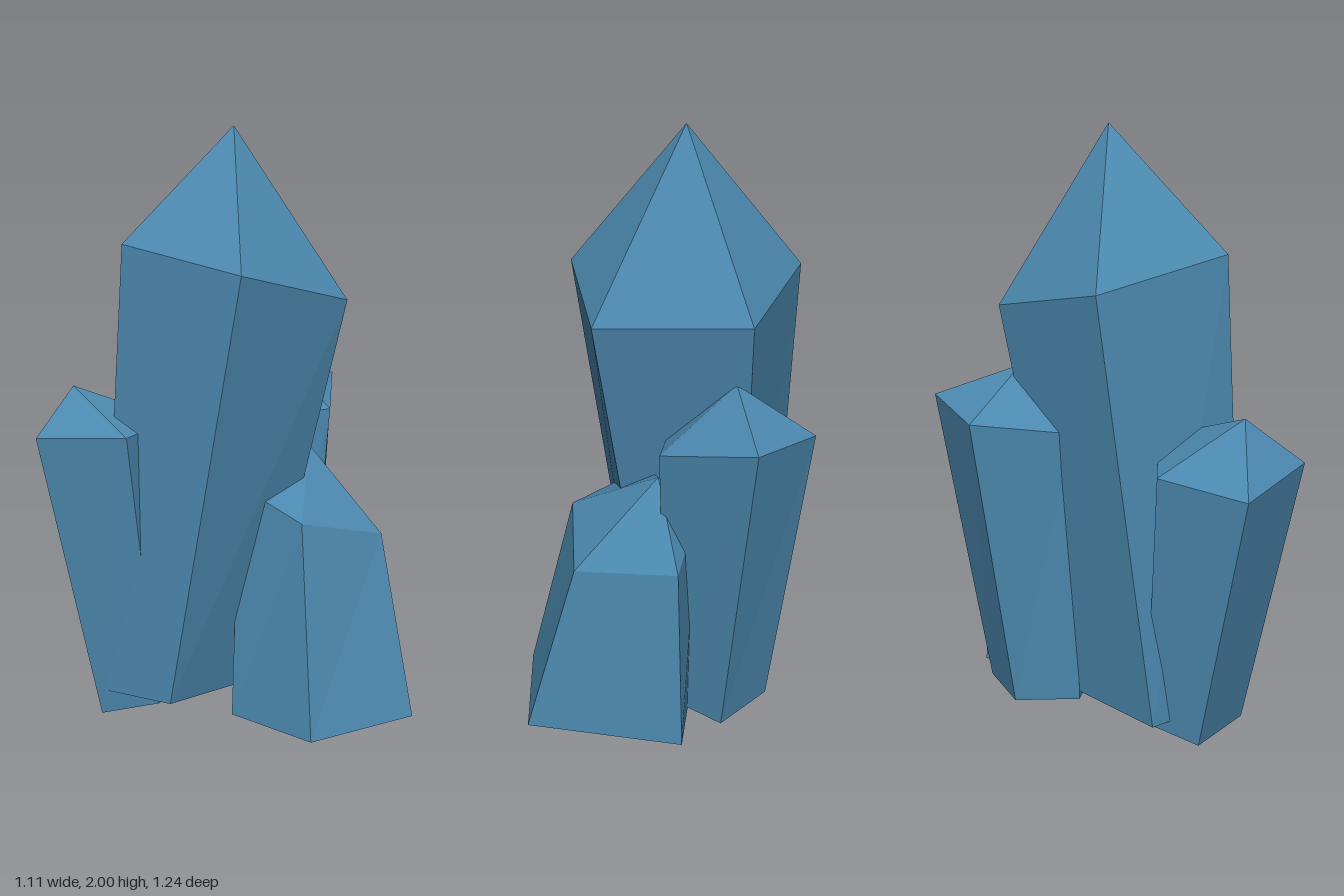
import * as THREE from 'three';

// One faceted crystal: base ring, shoulder ring (both running +z, +x, -z, -x) and a tip; open underneath
function crystal(name, material, base, shoulder, tip) {
  const p = [];
  const n = base.length;
  for (let i = 0; i < n; i++) {
    const j = (i + 1) % n;
    p.push(...base[i], ...base[j], ...shoulder[j]);
    p.push(...base[i], ...shoulder[j], ...shoulder[i]);
    p.push(...shoulder[i], ...shoulder[j], ...tip);
  }
  const geometry = new THREE.BufferGeometry();
  geometry.setAttribute('position', new THREE.Float32BufferAttribute(p, 3));
  geometry.computeVertexNormals();
  const mesh = new THREE.Mesh(geometry, material);
  mesh.name = name;
  return mesh;
}

export function createModel() {
  const group = new THREE.Group();
  group.name = 'crystalCluster';
  const blue = new THREE.MeshStandardMaterial({ color: 0x4b88ae, flatShading: true, side: THREE.DoubleSide });
  blue.name = 'crystalBlue';

  // Tall central crystal
  group.add(crystal('mainCrystal', blue,
    [[-0.2, 0.085, 0.44], [0.07, 0.09, 0.35], [0.065, 0.085, -0.03], [-0.25, 0.08, -0.12], [-0.455, 0.08, 0.16]],
    [[-0.165, 1.605, 0.355], [0.28, 1.51, 0.22], [0.285, 1.42, -0.245], [-0.2, 1.43, -0.38], [-0.46, 1.52, -0.02]],
    [-0.06, 2, -0.04]));

  // Small crystal leaning forward
  group.add(crystal('frontCrystal', blue,
    [[-0.2, 0, 0.44], [-0.06, 0.04, 0.3], [-0.12, 0.06, 0.13], [-0.38, 0.05, 0.13], [-0.43, 0.01, 0.31]],
    [[-0.295, 0.97, 0.62], [-0.055, 0.98, 0.425], [-0.17, 1.0, 0.14], [-0.48, 0.96, 0.17], [-0.555, 0.92, 0.455]],
    [-0.355, 1.125, 0.43]));

  // Wide stubby crystal on the side
  group.add(crystal('sideCrystal', blue,
    [[0.14, 0.02, 0.14], [0.485, 0.02, 0.1], [0.55, 0.02, -0.315], [0.055, 0.02, -0.53], [-0.055, 0.02, -0.2]],
    [[0.06, 0.79, 0.04], [0.33, 0.697, 0], [0.375, 0.62, -0.335], [0.06, 0.65, -0.485], [-0.06, 0.74, -0.24]],
    [0.08, 0.9, -0.27]));

  // Medium crystal leaning backward
  group.add(crystal('backCrystal', blue,
    [[0.02, 0.05, -0.1], [0.06, 0.04, -0.28], [-0.095, 0.04, -0.47], [-0.29, 0.05, -0.34], [-0.25, 0.05, -0.12]],
    [[0, 1.0, -0.1], [0.095, 1.02, -0.36], [-0.155, 1.11, -0.62], [-0.395, 1.08, -0.44], [-0.3, 1.035, -0.13]],
    [-0.165, 1.225, -0.32]));

  return group;
}
